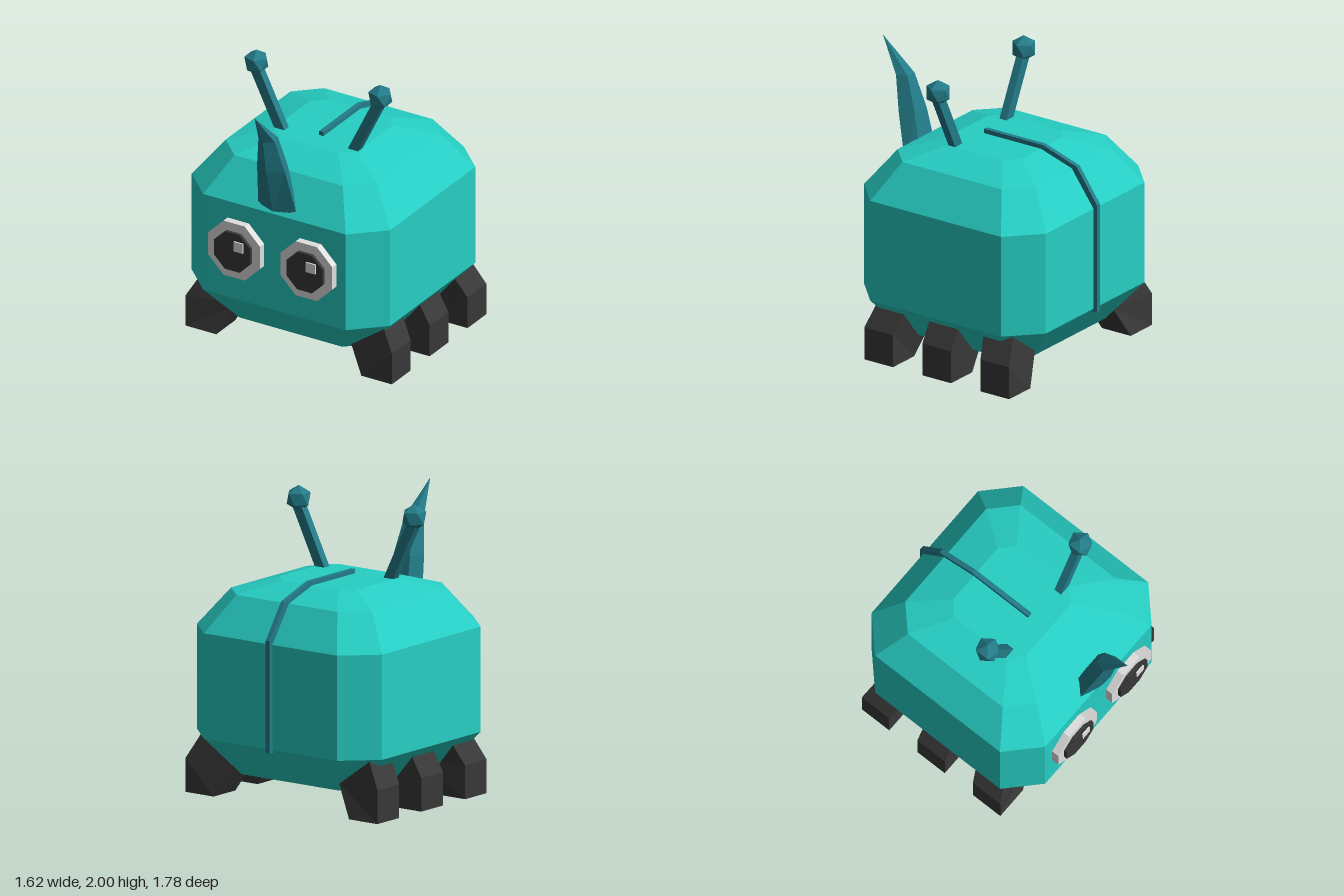
import * as THREE from 'three';

const material = (name, color, flat = true) => {
  const m = new THREE.MeshStandardMaterial({ color, flatShading: flat });
  m.name = name;
  return m;
};

// Skin a stack of closed rings (each ordered front, +x, back, -x) and cap both ends
function loft(rings) {
  const pos = [];
  const tri = (a, b, c) => pos.push(...a, ...b, ...c);
  const n = rings[0].length;
  for (let r = 0; r < rings.length - 1; r++) {
    for (let i = 0; i < n; i++) {
      const j = (i + 1) % n;
      const [lo, hi] = [rings[r], rings[r + 1]];
      tri(lo[i], lo[j], hi[j]);
      tri(lo[i], hi[j], hi[i]);
    }
  }
  const bottom = rings[0], top = rings[rings.length - 1];
  for (let i = 1; i < n - 1; i++) {
    tri(bottom[0], bottom[i + 1], bottom[i]);
    tri(top[0], top[i], top[i + 1]);
  }
  const g = new THREE.BufferGeometry();
  g.setAttribute('position', new THREE.Float32BufferAttribute(pos, 3));
  g.computeVertexNormals();
  return g;
}

function extrude(points, depth) {
  const shape = new THREE.Shape(points.map(([x, y]) => new THREE.Vector2(x, y)));
  return new THREE.ExtrudeGeometry(shape, { depth, bevelEnabled: false });
}

export function createModel() {
  const model = new THREE.Group();
  const shell = material('turquoise shell', 0x26cec4);
  const trim = material('dark teal trim', 0x237c89);
  const dark = material('charcoal', 0x383838);
  const white = material('eye white', 0xdfdfdf);

  const add = (name, geometry, mat, parent = model) => {
    const mesh = new THREE.Mesh(geometry, mat);
    mesh.name = name;
    parent.add(mesh);
    return mesh;
  };

  // Body: one chamfered rectangle scaled up the height
  const outline = [[-0.56, 0.75], [0.56, 0.75], [0.78, 0.54], [0.78, -0.54],
    [0.56, -0.75], [-0.56, -0.75], [-0.78, -0.54], [-0.78, 0.54]];
  const levels = [[0.16, 0.72], [0.42, 1], [1.14, 1], [1.39, 0.76], [1.47, 0.42]];
  add('body', loft(levels.map(([y, s]) =>
    outline.map(([x, z]) => [x * s, y, z * s - 0.11]))), shell);

  // Horn: five-sided, curving forward to a point: [y, back z, front z, half width]
  const hornLevels = [[1.17, 0.51, 0.66, 0.15], [1.5, 0.58, 0.745, 0.11],
    [1.74, 0.66, 0.785, 0.065], [1.97, 0.889, 0.891, 0.001]];
  add('horn', loft(hornLevels.map(([y, back, front, w]) =>
    Array.from({ length: 5 }, (_, i) => {
      const a = (i / 5) * Math.PI * 2;
      const t = (Math.cos(a) + 0.809) / 1.809;
      return [Math.sin(a) * w / 0.951, y, back + (front - back) * t];
    }))), trim);

  // Ridge strip down the back, drawn as (-z, y) and turned into the side plane
  const strip = extrude([[-0.045, 1.5], [0.44, 1.5], [0.72, 1.41], [0.89, 1.17], [0.89, 0.4],
    [0.84, 0.4], [0.84, 1.13], [0.67, 1.37], [0.42, 1.45], [-0.045, 1.45]], 0.034);
  strip.translate(0, 0, -0.017).rotateY(Math.PI / 2);
  add('backRidge', strip, trim);

  for (const side of [-1, 1]) {
    const label = side > 0 ? 'left' : 'right';

    // Antenna
    const antenna = new THREE.Group();
    antenna.name = label + 'Antenna';
    model.add(antenna);
    const stalk = add('stalk', new THREE.BoxGeometry(0.072, 0.52, 0.057), trim, antenna);
    stalk.position.set(side * 0.383, 1.66, 0.083);
    stalk.rotation.z = -side * 0.455;
    const knobGeometry = new THREE.IcosahedronGeometry(0.09, 0);
    knobGeometry.rotateZ(-Math.atan(2 / (1 + Math.sqrt(5))));
    add('knob', knobGeometry, trim, antenna).position.set(side * 0.487, 1.91, 0.083);

    // Eye: octagonal discs with a small highlight
    const eye = new THREE.Group();
    eye.name = label + 'Eye';
    eye.position.set(side * 0.284, 0.812, 0.63);
    model.add(eye);
    const disc = (name, half, depth, mat) => {
      const r = half / Math.cos(Math.PI / 8);
      const g = new THREE.CylinderGeometry(r, r, depth, 8);
      g.rotateY(Math.PI / 8).rotateX(Math.PI / 2).translate(0, 0, depth / 2);
      add(name, g, mat, eye);
    };
    disc('eyeball', 0.203, 0.063, white);
    disc('pupil', 0.141, 0.087, dark);
    add('highlight', new THREE.BoxGeometry(0.072, 0.072, 0.03), white, eye)
      .position.set(0.053, 0.05, 0.083);

    // Legs: upright foot, upper part leaning into the body
    const legs = [['front', 0.22, -0.055], ['middle', -0.26, 0], ['back', -0.74, 0.055]];
    for (const [place, z, lean] of legs) {
      const g = extrude([[0.57, 0], [0.81, 0], [0.81, 0.23], [0.68, 0.455], [0.44, 0.23]]
        .map(([x, y]) => [side * x, y]), 0.237);
      g.translate(0, 0, z);
      const p = g.attributes.position;
      for (let i = 0; i < p.count; i++) {
        if (p.getY(i) > 0.1 && Math.abs(p.getX(i)) < 0.75) p.setZ(i, p.getZ(i) + lean);
      }
      g.computeVertexNormals();
      add(label + place[0].toUpperCase() + place.slice(1) + 'Leg', g, dark);
    }
  }
  return model;
}
